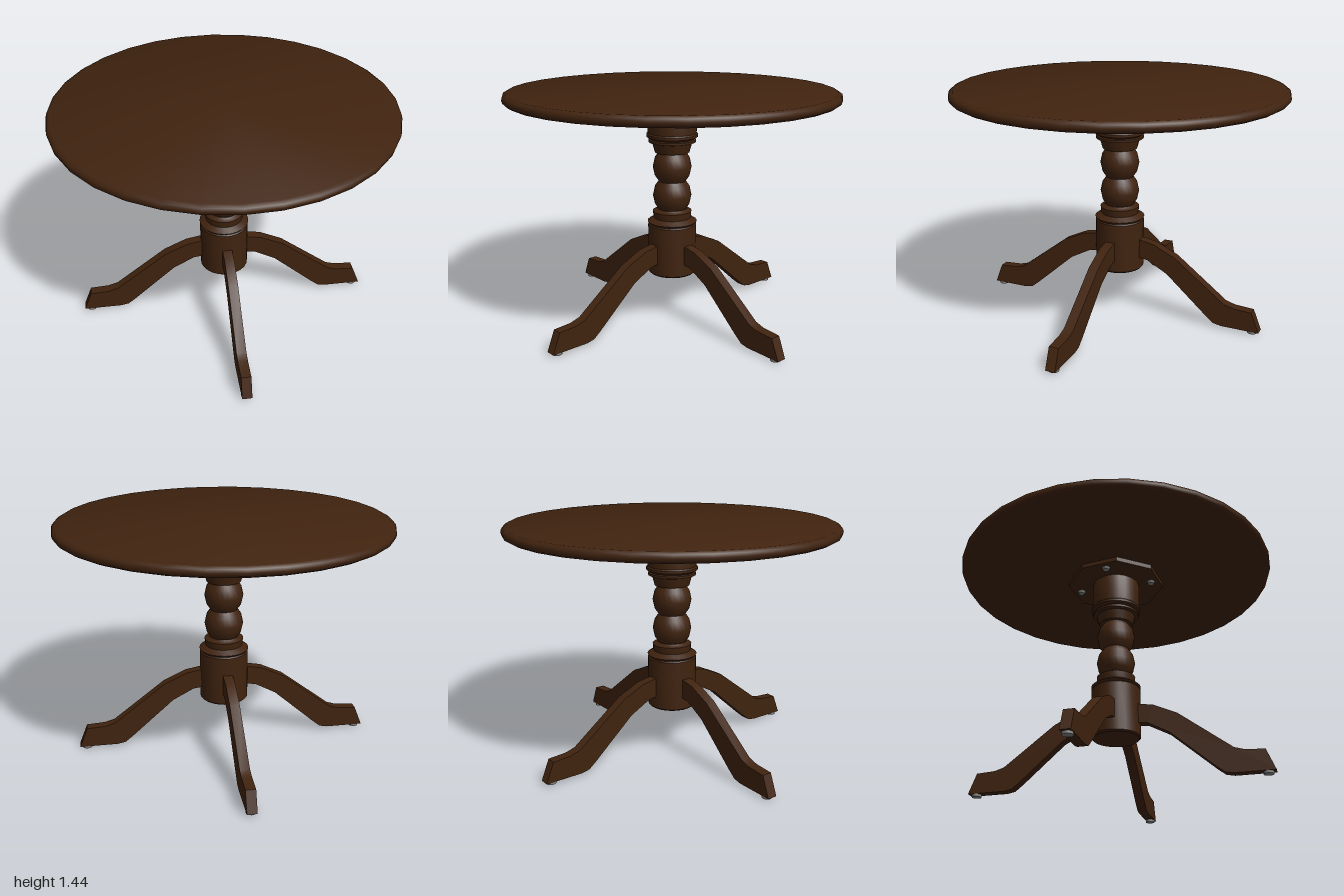
import * as THREE from 'three';
import { toCreasedNormals } from 'three/addons/utils/BufferGeometryUtils.js';

export function createModel() {
  const wood = new THREE.MeshStandardMaterial({ color: 0x40230f });
  wood.name = 'darkWood';
  const metal = new THREE.MeshStandardMaterial({ color: 0x808080 });
  metal.name = 'metal';

  const table = new THREE.Group();
  table.name = 'pedestalTable';

  const add = (parent, geometry, material, name, x = 0, y = 0, z = 0) => {
    const mesh = new THREE.Mesh(geometry, material);
    mesh.name = name;
    mesh.position.set(x, y, z);
    parent.add(mesh);
    return mesh;
  };

  // Turned part from [radius, height] points, bottom to top
  const turned = (points, sides, crease) => toCreasedNormals(
    new THREE.LatheGeometry(points.map(([r, y]) => new THREE.Vector2(r, y)), sides), crease);

  // Round top with a softened rim
  add(table, turned([
    [0, 1.38], [0.975, 1.38], [0.995, 1.392], [1, 1.41], [0.995, 1.428], [0.975, 1.44], [0, 1.44],
  ], 32, 0.9), wood, 'tableTop');

  // Octagonal mounting plate
  const plate = add(table, toCreasedNormals(new THREE.CylinderGeometry(0.308, 0.308, 0.03, 8), 0.3),
    wood, 'mountingPlate', 0, 1.367, 0);
  plate.rotation.y = 0.14;

  // Base block with collar and ring
  add(table, turned([
    [0, 0.29], [0.14, 0.29], [0.15, 0.3], [0.15, 0.605], [0.143, 0.612], [0.153, 0.625],
    [0.115, 0.648], [0.117, 0.66], [0.12, 0.69], [0.1, 0.695], [0.09, 0.705], [0, 0.705],
  ], 24, 0.6), wood, 'columnBase');

  // Two turned beads
  for (const y of [0.79, 0.97]) {
    add(table, turned([
      [0, y - 0.094], [0.08, y - 0.094], [0.107, y - 0.055], [0.119, y],
      [0.107, y + 0.055], [0.08, y + 0.094], [0, y + 0.094],
    ], 24, 0.9), wood, 'columnBead');
  }

  // Flared cup and upper block
  add(table, turned([
    [0, 1.06], [0.106, 1.06], [0.122, 1.118], [0.145, 1.124], [0.145, 1.138], [0.135, 1.143],
    [0.157, 1.157], [0.157, 1.172], [0.149, 1.18], [0.153, 1.34], [0.148, 1.355], [0, 1.355],
  ], 24, 0.6), wood, 'columnHead');

  // Leg side profile: distance from the column, height
  const width = 0.06;
  const profile = new THREE.Shape([
    [0.13, 0.375], [0.2, 0.365], [0.33, 0.295], [0.59, 0.065], [0.64, 0.025], [0.69, 0.015],
    [0.925, 0.015], [0.875, 0.14], [0.76, 0.147], [0.7, 0.165], [0.38, 0.41], [0.24, 0.475], [0.13, 0.495],
  ].map(([r, y]) => new THREE.Vector2(r, y)));
  const legGeometry = new THREE.ExtrudeGeometry(profile, { depth: width, bevelEnabled: false });
  legGeometry.translate(0, 0, -width / 2);
  const legSmooth = toCreasedNormals(legGeometry, 0.7);

  // Four legs with floor glides, and plate screws in line with them
  const glide = new THREE.CylinderGeometry(0.03, 0.03, 0.016, 12);
  const screw = new THREE.CylinderGeometry(0.026, 0.02, 0.018, 10);
  for (let i = 0; i < 4; i++) {
    const arm = new THREE.Group();
    arm.name = 'legGroup';
    arm.rotation.y = THREE.MathUtils.degToRad(37 + i * 90);
    add(arm, legSmooth, wood, 'leg');
    add(arm, glide, metal, 'floorGlide', 0.88, 0.008, 0);
    add(arm, screw, metal, 'plateScrew', 0.235, 1.344, 0);
    table.add(arm);
  }

  return table;
}
